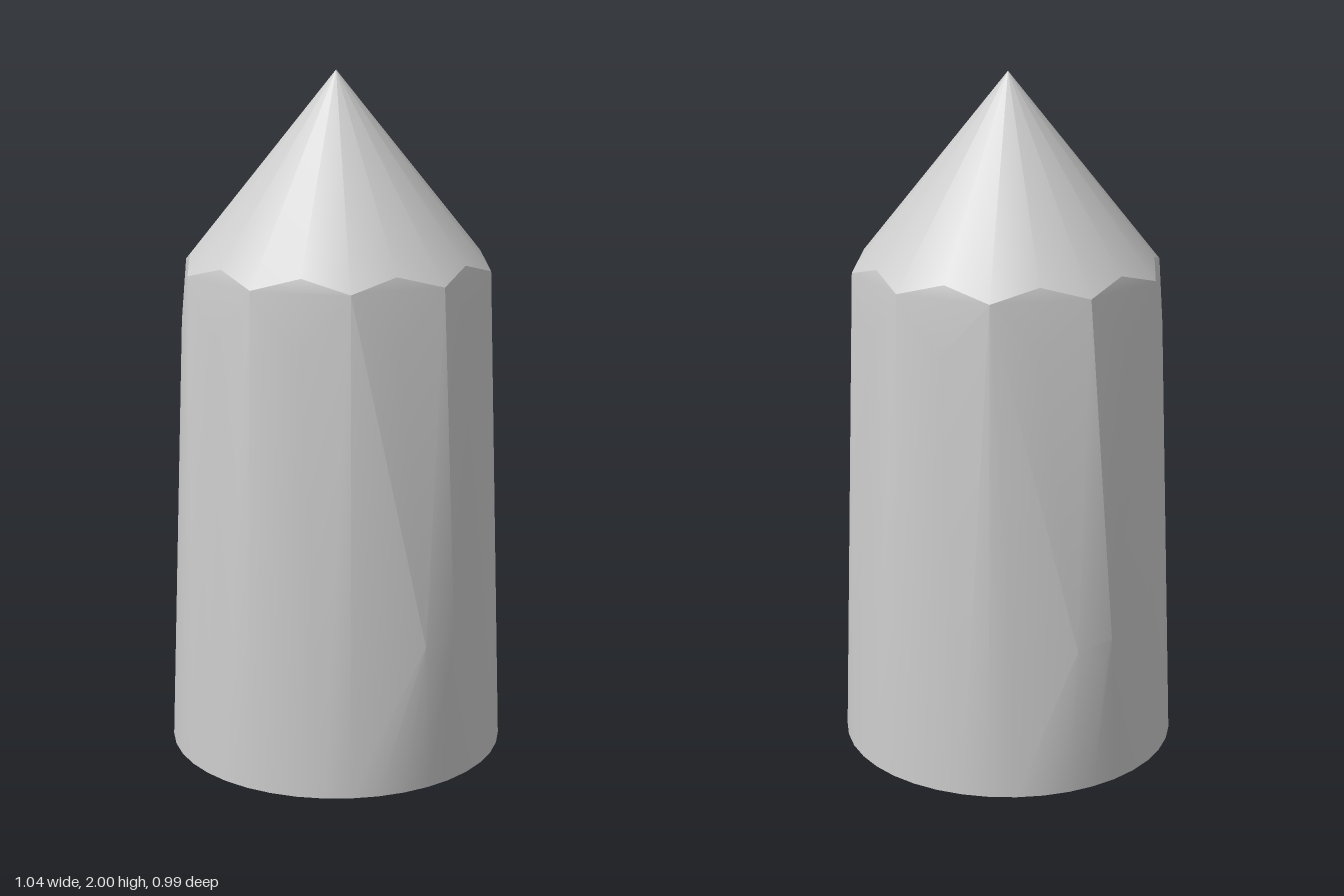
import * as THREE from 'three';
import { ConvexGeometry } from 'three/addons/geometries/ConvexGeometry.js';
import { toCreasedNormals } from 'three/addons/utils/BufferGeometryUtils.js';

// Ring of points around the y axis
function ring(radius, y, count, offset = 0) {
  return Array.from({ length: count }, (_, i) => {
    const a = offset + (i / count) * Math.PI * 2;
    return new THREE.Vector3(Math.cos(a) * radius, y, Math.sin(a) * radius);
  });
}

export function createModel() {
  const group = new THREE.Group();
  group.name = 'pointedPost';

  const half = Math.PI / 10;
  const points = [
    new THREE.Vector3(0, 2, 0), // tip
    ...ring(0.418, 1.482, 10, half), // chamfers above the shoulder
    ...ring(0.45, 1.445, 10), // ten-sided shoulder
    ...ring(0.445, 1.29, 10, half), // chamfers below the shoulder
    ...ring(0.494, 0.01, 40), // round base rim
    new THREE.Vector3(0, 0, 0),
    // slight swellings low on both sides
    new THREE.Vector3(0.517, 0.47, 0.01),
    new THREE.Vector3(0.508, 0.45, 0.11),
    new THREE.Vector3(0.515, 0.35, 0.03),
    new THREE.Vector3(-0.519, 0.47, 0.04),
    new THREE.Vector3(-0.508, 0.45, -0.065),
    new THREE.Vector3(-0.515, 0.4, 0.02),
  ];

  const geometry = toCreasedNormals(new ConvexGeometry(points), 0.35);
  const post = new THREE.Mesh(geometry, new THREE.MeshStandardMaterial({ color: 0xcccccc }));
  post.name = 'postBody';
  group.add(post);
  return group;
}
